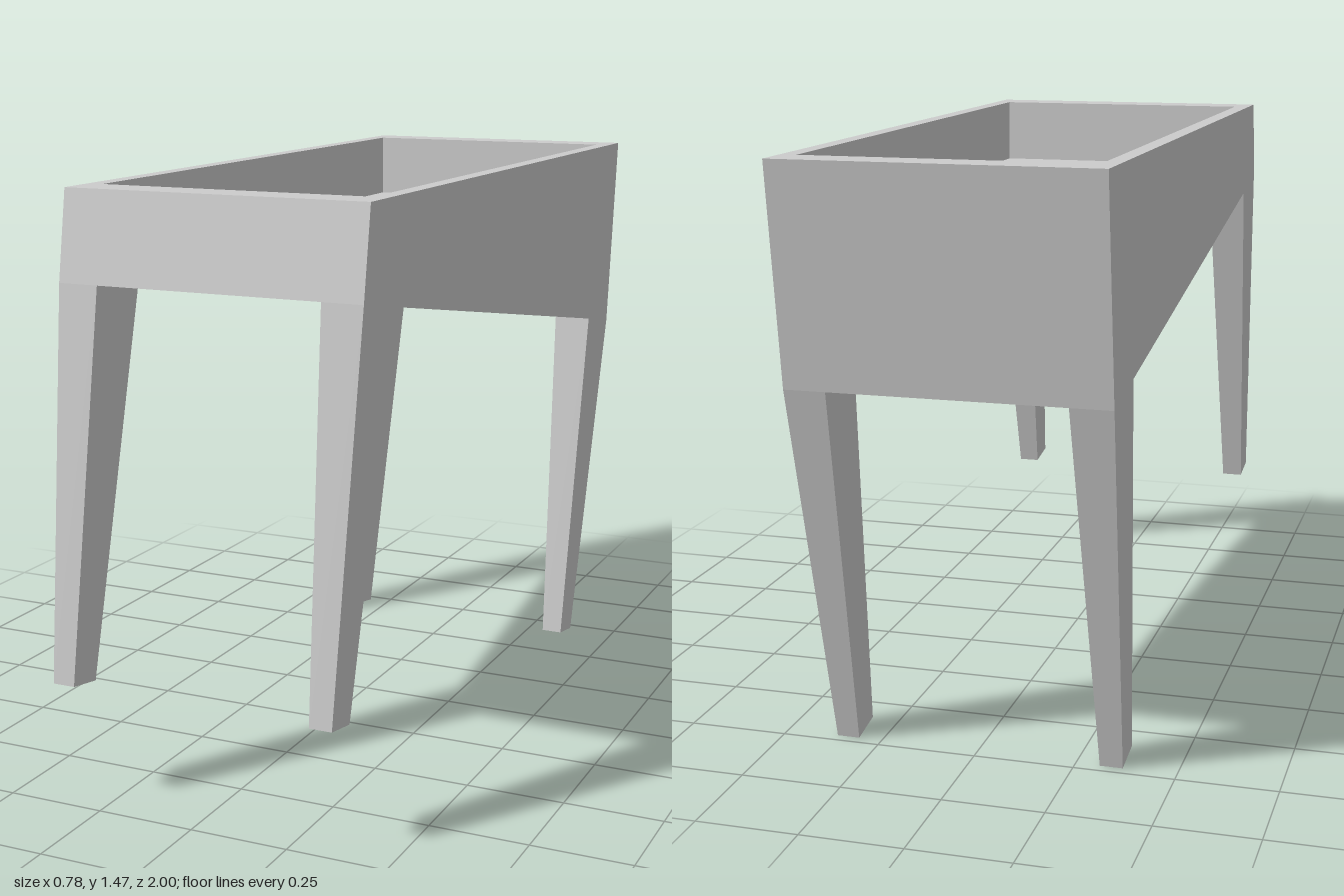
import * as THREE from 'three';

const material = new THREE.MeshStandardMaterial({ color: 0xcccccc, flatShading: true });

// Four-cornered ring: x range, then front and back edges as [z, y]
function ring(x0, x1, [zf, yf], [zb, yb]) {
  return [[x0, yf, zf], [x1, yf, zf], [x1, yb, zb], [x0, yb, zb]];
}

// Skins successive rings with flat quads; both ends are closed
function loft(name, rings) {
  const pos = [];
  const quad = (a, b, c, d) => pos.push(...a, ...b, ...c, ...a, ...c, ...d);
  for (let i = 0; i < rings.length - 1; i++) {
    const lo = rings[i], hi = rings[i + 1];
    for (let k = 0; k < 4; k++) {
      const n = (k + 1) % 4;
      quad(lo[k], lo[n], hi[n], hi[k]);
    }
  }
  const first = rings[0], last = rings[rings.length - 1];
  quad(first[3], first[2], first[1], first[0]);
  quad(...last);
  const geometry = new THREE.BufferGeometry();
  geometry.setAttribute('position', new THREE.Float32BufferAttribute(pos, 3));
  geometry.computeVertexNormals();
  const mesh = new THREE.Mesh(geometry, material);
  mesh.name = name;
  return mesh;
}

export function createModel() {
  const group = new THREE.Group();
  group.name = 'planterTable';

  // Wedge-shaped trough: sloped underside, level rim, recessed level floor
  const W = 0.39, w = 0.35, top = 1.472, floor = 1.3;
  group.add(loft('trough', [
    ring(-W, W, [0.877, 1.253], [-0.932, 0.938]),
    ring(-W, W, [0.84, top], [-1, top]),
    ring(-w, w, [0.74, top], [-0.905, top]),
    ring(-w, w, [0.74, floor], [-0.905, floor]),
  ]));

  // Tapered legs: foot and top edges as [z, y], front then back
  const legs = {
    frontLeg: { foot: [[1, 0.308], [0.906, 0.292]], top: [[0.877, 1.253], [0.697, 1.222]] },
    backLeg: { foot: [[-0.627, 0.018], [-0.723, 0.002]], top: [[-0.75, 0.97], [-0.932, 0.938]] },
  };
  for (const [name, leg] of Object.entries(legs)) {
    for (const side of [-1, 1]) {
      const span = (inner, outer) => (side > 0 ? [inner, outer] : [-outer, -inner]);
      group.add(loft(name + (side > 0 ? 'Left' : 'Right'), [
        ring(...span(0.31, 0.367), ...leg.foot),
        ring(...span(0.287, W), ...leg.top),
      ]));
    }
  }
  return group;
}
